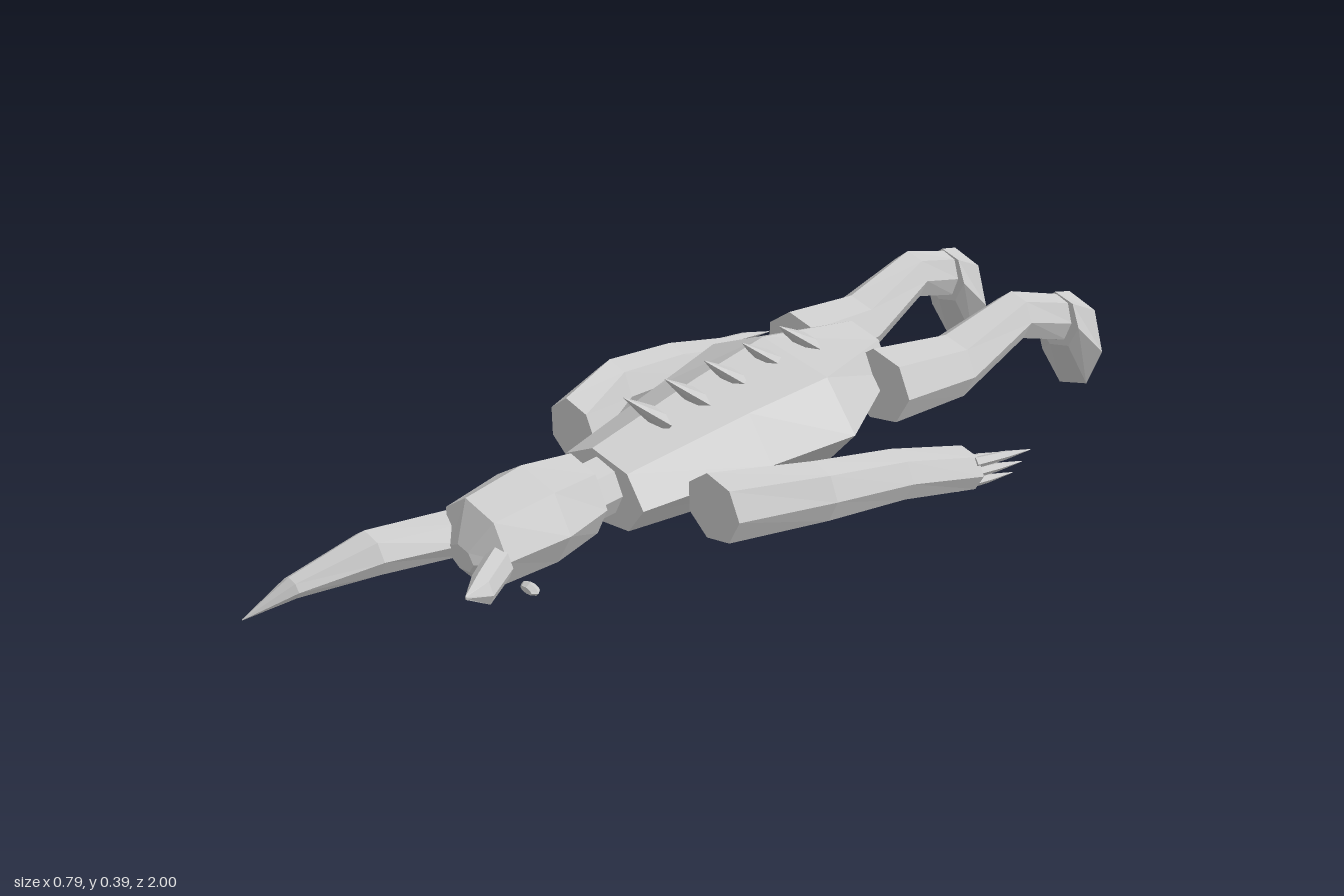
import * as THREE from 'three';

const SIDES = 7;
const grey = new THREE.MeshStandardMaterial({ color: 0xcccccc, flatShading: true });
grey.name = 'stone grey';

// Capped loft along z. Each section is [x, y, z, radiusX, radiusY], ordered back to front.
function loft(name, sections, sides = SIDES) {
  const pos = [], idx = [];
  for (const [x, y, z, rx, ry] of sections) {
    for (let j = 0; j < sides; j++) {
      const a = (j / sides) * Math.PI * 2;
      pos.push(x + Math.cos(a) * rx, y + Math.sin(a) * ry, z);
    }
  }
  for (let i = 0; i < sections.length - 1; i++) {
    for (let j = 0; j < sides; j++) {
      const k = (j + 1) % sides, a = i * sides, b = a + sides;
      idx.push(a + j, a + k, b + k, a + j, b + k, b + j);
    }
  }
  const last = (sections.length - 1) * sides;
  for (let j = 1; j < sides - 1; j++) {
    idx.push(0, j + 1, j, last, last + j, last + j + 1);
  }
  const indexed = new THREE.BufferGeometry();
  indexed.setAttribute('position', new THREE.Float32BufferAttribute(pos, 3));
  indexed.setIndex(idx);
  const geo = indexed.toNonIndexed();
  geo.computeVertexNormals();
  const mesh = new THREE.Mesh(geo, grey);
  mesh.name = name;
  return mesh;
}

// Moves section centres to the other side of the body
const onSide = (s, sections) => sections.map(([x, ...rest]) => [x * s, ...rest]);

export function createModel() {
  const model = new THREE.Group();
  model.name = 'hornedCreature';

  // Trunk, neck and head
  model.add(loft('torso', [
    [0, 0.22, -0.43, 0.093, 0.09],
    [0, 0.22, -0.18, 0.217, 0.132],
    [0, 0.215, 0.02, 0.175, 0.12],
    [0, 0.213, 0.315, 0.118, 0.083],
  ]));
  model.add(loft('neck', [
    [0, 0.222, 0.3, 0.06, 0.06],
    [0, 0.222, 0.38, 0.06, 0.06],
  ]));
  model.add(loft('head', [
    [0, 0.228, 0.375, 0.083, 0.085],
    [0, 0.235, 0.49, 0.112, 0.098],
    [0, 0.232, 0.625, 0.095, 0.09],
    [0, 0.215, 0.66, 0.036, 0.027],
  ]));

  // One long horn and one broken short horn
  model.add(loft('longHorn', [
    [-0.072, 0.22, 0.62, 0.055, 0.045],
    [-0.115, 0.228, 0.78, 0.047, 0.045],
    [-0.165, 0.194, 0.92, 0.025, 0.02],
    [-0.215, 0.137, 1, 0.001, 0.001],
  ]));
  model.add(loft('shortHorn', [
    [0.067, 0.222, 0.62, 0.035, 0.035],
    [0.128, 0.235, 0.71, 0.032, 0.032],
    [0.16, 0.26, 0.77, 0.002, 0.004],
  ]));

  // Row of forward-leaning back spines
  for (let i = 0; i < 5; i++) {
    const z = 0.167 - i * 0.108;
    const lift = i * 0.002;
    model.add(loft('backSpine', [
      [0, 0.312 + lift, z, 0.042, 0.025],
      [0, 0.35 + lift / 2, z + 0.042, 0.03, 0.014],
      [0, 0.391, z + 0.086, 0.001, 0.001],
    ]));
  }

  for (const s of [1, -1]) {
    const side = s > 0 ? 'left' : 'right';

    // Small flat eyes below the head
    model.add(loft(side + 'Eye', onSide(s, [
      [0.05, 0.115, 0.535, 0.017, 0.007],
      [0.05, 0.115, 0.545, 0.025, 0.012],
      [0.05, 0.115, 0.555, 0.017, 0.007],
    ]), 8));

    // Arm trailing behind the shoulder
    model.add(loft(side + 'Arm', onSide(s, [
      [0.345, 0.112, -0.385, 0.052, 0.05],
      [0.323, 0.173, -0.18, 0.053, 0.057],
      [0.295, 0.208, 0.02, 0.056, 0.066],
      [0.205, 0.215, 0.215, 0.072, 0.075],
    ])));

    // Fingers
    for (const [x, y] of [[0.388, 0.103], [0.37, 0.066], [0.348, 0.028], [0.328, 0.072]]) {
      model.add(loft(side + 'Finger', onSide(s, [
        [x, y, -0.555, 0.001, 0.001],
        [x - 0.004, y + 0.02, -0.47, 0.01, 0.011],
        [x - 0.012, y + 0.038, -0.375, 0.012, 0.014],
      ]), 5));
    }

    // Leg and flared foot
    model.add(loft(side + 'Leg', onSide(s, [
      [0.167, 0.2, -0.945, 0.04, 0.06],
      [0.151, 0.257, -0.785, 0.052, 0.058],
      [0.138, 0.2, -0.58, 0.073, 0.073],
      [0.122, 0.228, -0.36, 0.086, 0.085],
    ])));
    model.add(loft(side + 'Foot', onSide(s, [
      [0.17, 0.125, -1, 0.087, 0.123],
      [0.167, 0.198, -0.937, 0.06, 0.069],
    ])));
  }
  return model;
}
